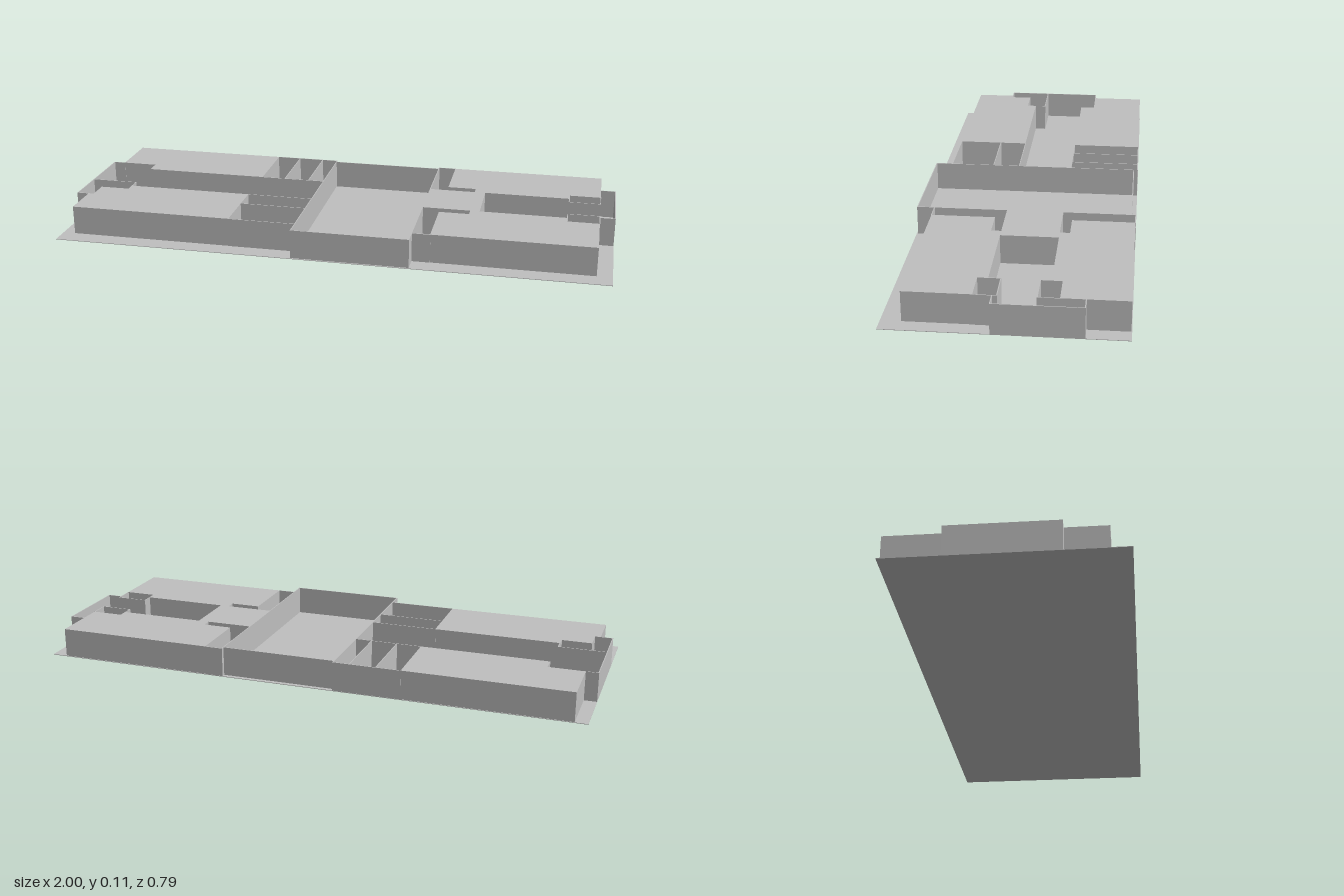
import * as THREE from 'three';

const H = 0.107; // wall height
const T = 0.003; // wall thickness

export function createModel() {
  const model = new THREE.Group();
  const grey = new THREE.MeshStandardMaterial({ color: 0xbfbfbf });
  grey.name = 'plain grey';

  const add = (name, geometry) => {
    const mesh = new THREE.Mesh(geometry, grey);
    mesh.name = name;
    model.add(mesh);
    return mesh;
  };

  // Thin wall along x or z
  const wall = (name, x1, z1, x2, z2) => {
    const w = Math.abs(x2 - x1) + T, d = Math.abs(z2 - z1) + T;
    add(name, new THREE.BoxGeometry(w, H, d)).position.set((x1 + x2) / 2, H / 2, (z1 + z2) / 2);
  };

  // Roofed wing raised from its footprint of [x, z] corners
  const wing = (name, footprint) => {
    const shape = new THREE.Shape(footprint.map(([x, z]) => new THREE.Vector2(x, -z)));
    const geometry = new THREE.ExtrudeGeometry(shape, { depth: H, bevelEnabled: false });
    geometry.rotateX(-Math.PI / 2);
    add(name, geometry);
  };

  // Ground slab
  add('groundSlab', new THREE.BoxGeometry(2, 0.002, 0.785)).position.y = 0.001;

  // Closed wings at the four corners, and the block beside the hall
  wing('backRightWing', [[-0.955, -0.39], [-0.36, -0.39], [-0.36, -0.135],
    [-0.825, -0.135], [-0.825, -0.19], [-0.955, -0.19]]);
  wing('frontRightWing', [[-0.955, 0.18], [-0.935, 0.18], [-0.935, 0.1], [-0.825, 0.1],
    [-0.825, 0.065], [-0.36, 0.065], [-0.36, 0.325], [-0.955, 0.325]]);
  wing('backLeftWing', [[0.37, -0.39], [0.945, -0.39], [0.945, -0.17], [0.83, -0.17],
    [0.83, -0.135], [0.475, -0.135], [0.475, -0.17], [0.37, -0.17]]);
  wing('frontLeftWing', [[0.37, 0.1], [0.48, 0.1], [0.48, 0.065], [0.83, 0.065],
    [0.83, 0.1], [0.945, 0.1], [0.945, 0.325], [0.37, 0.325]]);
  wing('lobbyBlock', [[0.305, -0.135], [0.515, -0.135], [0.515, 0.065], [0.305, 0.065]]);

  // Open central hall
  for (const x of [-0.115, 0.305]) wall('hallSideWall', x, -0.39, x, 0.386);
  wall('hallBackWall', -0.115, -0.376, 0.305, -0.376);
  wall('hallFrontWall', -0.115, 0.386, 0.305, 0.386);

  // Open rooms behind the right corridor
  for (const z of [-0.39, -0.135]) wall('backRoomWall', -0.36, z, -0.115, z);
  for (const x of [-0.27, -0.175]) wall('backRoomPartition', x, -0.39, x, -0.135);

  // Open rooms in front of the right corridor
  for (const z of [0.065, 0.165, 0.325]) wall('frontRoomWall', -0.36, z, -0.115, z);

  // Narrow passages beside the hall
  wall('passageBackWall', 0.305, -0.39, 0.37, -0.39);
  wall('passageFrontWall', 0.305, 0.325, 0.37, 0.325);

  // Entrance at the right end
  wall('rightEndWall', -0.9985, -0.19, -0.9985, 0.18);
  wall('rightEntranceWall', -0.9985, -0.19, -0.955, -0.19);
  wall('rightEntranceWall', -0.9985, 0.18, -0.935, 0.18);
  wall('rightClosetWall', -0.9985, 0.025, -0.825, 0.025);
  wall('rightClosetWall', -0.825, 0.025, -0.825, 0.1);

  // Entrance at the left end
  wall('leftEndWall', 0.9985, -0.25, 0.9985, 0.04);
  for (const z of [-0.25, 0.04]) wall('leftEntranceWall', 0.945, z, 0.9985, z);

  // Closets flanking the left entrance
  for (const [inner, outer] of [[-0.1, -0.17], [0.025, 0.1]]) {
    wall('leftClosetFront', 0.83, inner, 0.945, inner);
    for (const x of [0.83, 0.945]) wall('leftClosetSide', x, inner, x, outer);
  }

  return model;
}
